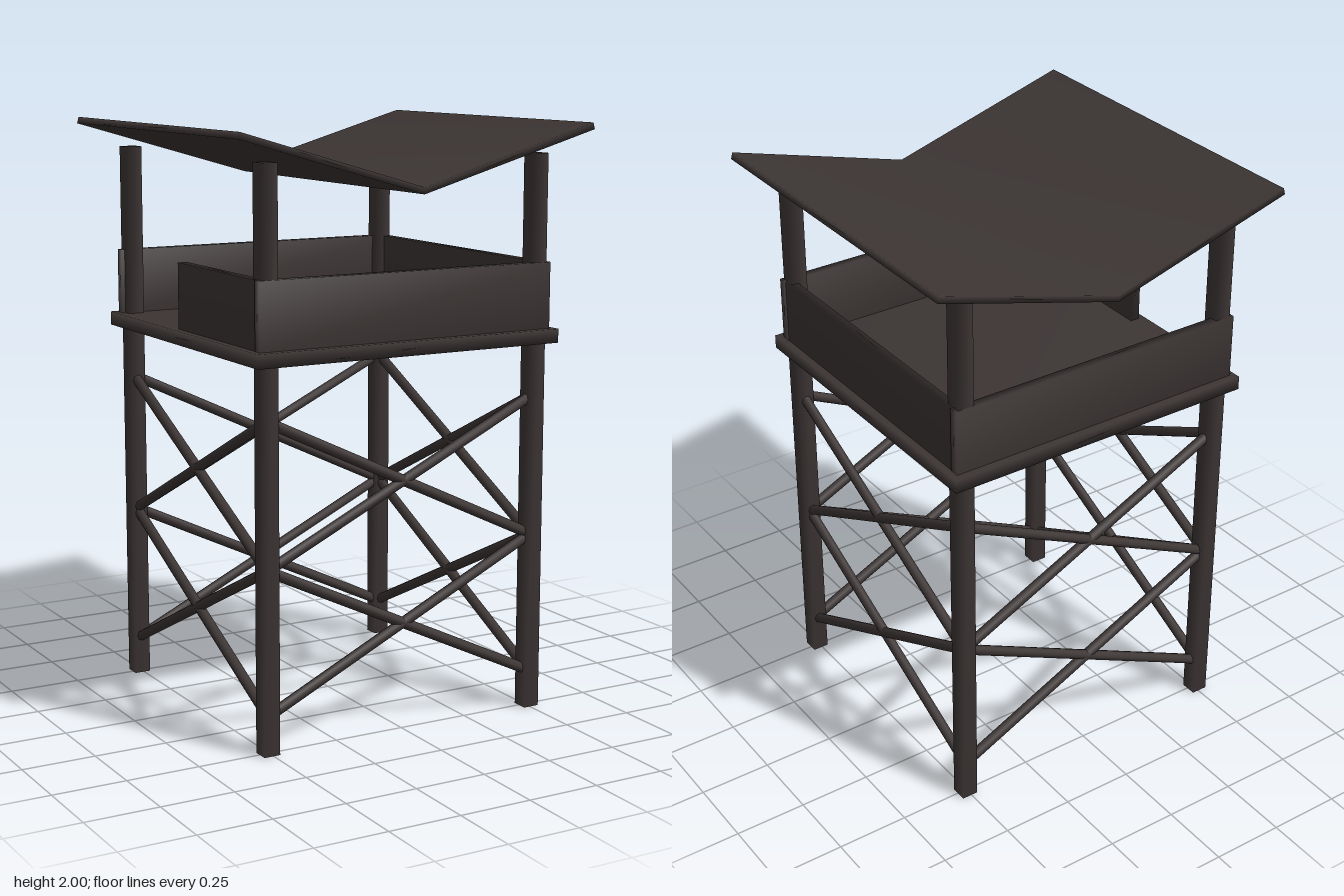
import * as THREE from 'three';
import { mergeVertices } from 'three/addons/utils/BufferGeometryUtils.js';

// Shares corners between faces so the shading runs smoothly across them
function soften(geometry) {
  geometry.deleteAttribute('normal');
  geometry.deleteAttribute('uv');
  const soft = mergeVertices(geometry);
  soft.computeVertexNormals();
  return soft;
}

export function createModel() {
  const model = new THREE.Group();
  model.name = 'watchtower';
  const wood = new THREE.MeshStandardMaterial({ color: 0x3c3534 });
  wood.name = 'dark wood';

  function add(name, geometry, parent = model) {
    const mesh = new THREE.Mesh(soften(geometry), wood);
    mesh.name = name;
    parent.add(mesh);
    return mesh;
  }

  // Box given by its lower and upper limits on each axis
  function box(name, [x0, x1], [y0, y1], [z0, z1], parent) {
    const g = new THREE.BoxGeometry(x1 - x0, y1 - y0, z1 - z0);
    g.translate((x0 + x1) / 2, (y0 + y1) / 2, (z0 + z1) / 2);
    return add(name, g, parent);
  }

  // Round bar between two points
  function bar(name, from, to, radius, parent) {
    const span = to.clone().sub(from);
    const mesh = add(name, new THREE.CylinderGeometry(radius, radius, span.length(), 8), parent);
    mesh.position.copy(from).add(to).multiplyScalar(0.5);
    mesh.quaternion.setFromUnitVectors(new THREE.Vector3(0, 1, 0), span.normalize());
  }

  // Four square corner posts
  const c = 0.505, h = 0.0285;
  for (const sx of [-1, 1]) for (const sz of [-1, 1]) {
    box('cornerPost', [sx * c - h, sx * c + h], [0, 1.9], [sz * c - h, sz * c + h]);
  }

  // Two stacked crosses of braces on every side
  const levels = [0.125, 0.608, 1.09];
  for (let side = 0; side < 4; side++) {
    const braces = new THREE.Group();
    braces.name = 'crossBraces';
    braces.rotation.y = side * Math.PI / 2;
    for (let i = 0; i < 2; i++) for (const s of [-1, 1]) {
      bar('brace', new THREE.Vector3(-s * c, levels[i], c),
        new THREE.Vector3(s * c, levels[i + 1], c), 0.018, braces);
    }
    model.add(braces);
  }

  // Platform floor
  box('platform', [-0.565, 0.565], [1.27, 1.317], [-0.565, 0.565]);

  // Parapet walls, with an entrance at the rear of the -x side
  const wallY = [1.317, 1.54];
  box('frontWall', [-0.545, 0.545], wallY, [0.507, 0.54]);
  box('backWall', [-0.545, 0.545], wallY, [-0.54, -0.507]);
  box('sideWall', [0.51, 0.543], wallY, [-0.507, 0.507]);
  box('shortSideWall', [-0.543, -0.51], wallY, [-0.05, 0.507]);

  // Butterfly roof: a shallow V section run from back to front
  const section = new THREE.Shape([
    [0, 1.79], [0.655, 1.978], [0.649, 2], [0, 1.812], [-0.649, 2], [-0.655, 1.978],
  ].map(([x, y]) => new THREE.Vector2(x, y)));
  const roof = new THREE.ExtrudeGeometry(section, { depth: 1.24, bevelEnabled: false });
  roof.translate(0, 0, -0.62);
  add('roof', roof);

  return model;
}
